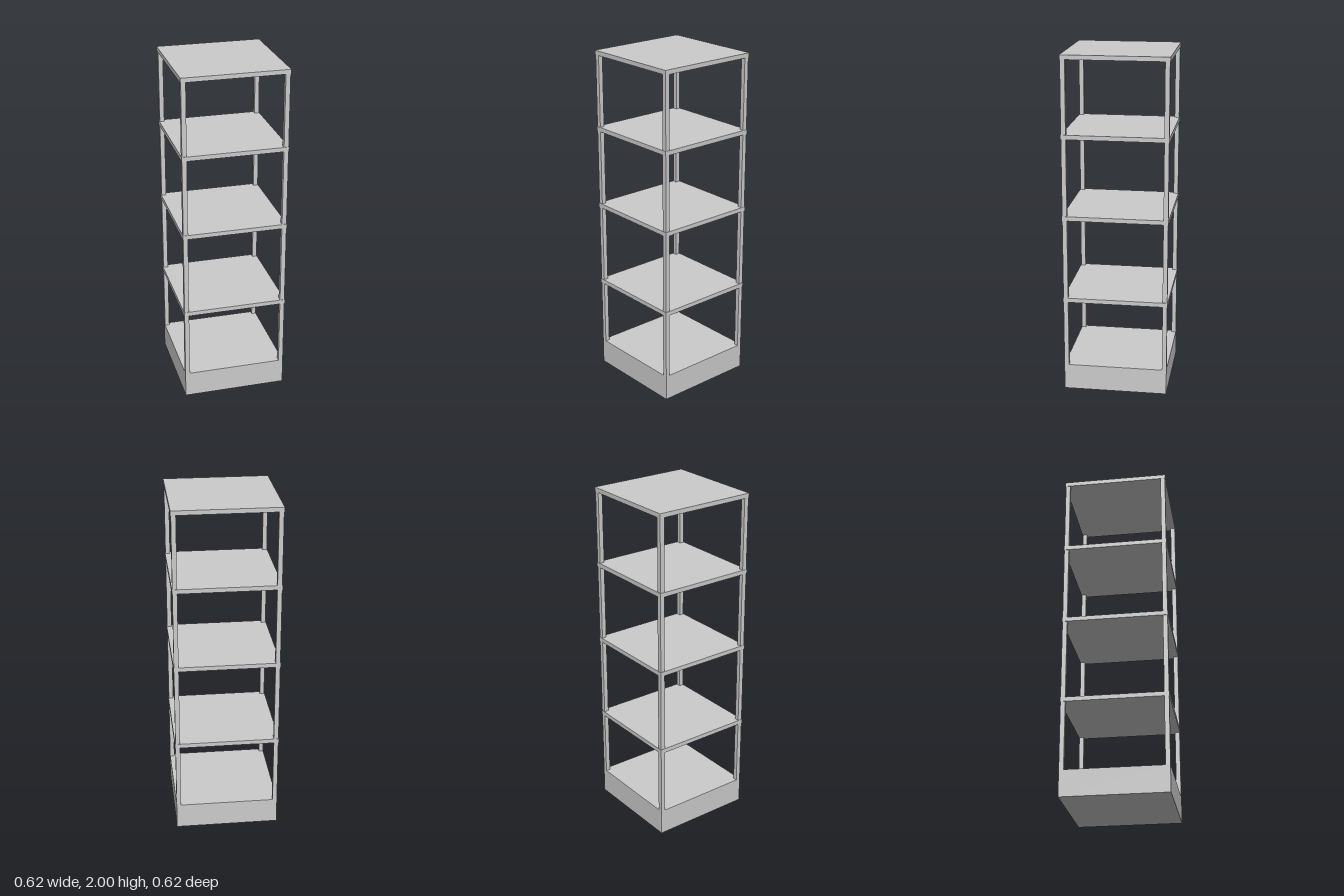
import * as THREE from 'three';

export function createModel() {
  const group = new THREE.Group();
  const material = new THREE.MeshStandardMaterial({ color: 0xcccccc });

  const TOP = 2, BASE_TOP = 0.153;
  const BODY = 0.61;    // width of base and post frame
  const SHELF = 0.615;  // shelves overhang the frame very slightly
  const POST = 0.027, THICK = 0.026;

  function box(name, w, h, d, x, bottom, z) {
    const mesh = new THREE.Mesh(new THREE.BoxGeometry(w, h, d), material);
    mesh.name = name;
    mesh.position.set(x, bottom + h / 2, z);
    group.add(mesh);
  }

  // Solid plinth
  box('base', BODY, BASE_TOP, BODY, 0, 0, 0);

  // Four corner posts, from the plinth to the underside of the top
  const c = (BODY - POST) / 2;
  for (const [side, x] of [['left', c], ['right', -c]]) {
    for (const [end, z] of [['Front', c], ['Back', -c]]) {
      box(`${side}${end}Post`, POST, TOP - THICK - BASE_TOP, POST, x, BASE_TOP, z);
    }
  }

  // Shelves, named from the bottom up, and the top panel
  [0.577, 1.075, 1.551].forEach((y, i) => {
    box(`shelf${i + 1}`, SHELF, THICK, SHELF, 0, y - THICK, 0);
  });
  box('topPanel', SHELF, THICK, SHELF, 0, TOP - THICK, 0);

  return group;
}
